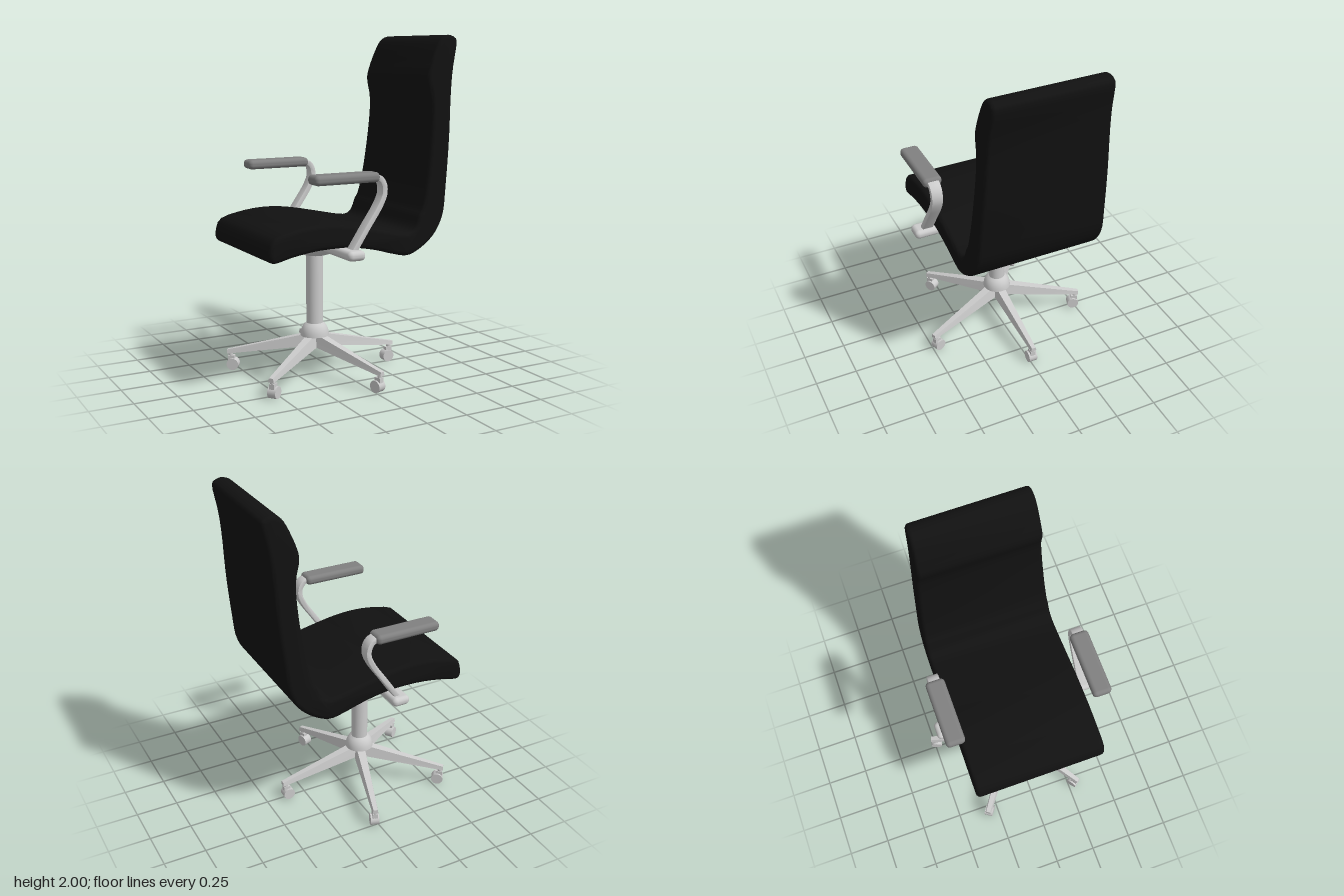
import * as THREE from 'three';
import { toCreasedNormals } from 'three/addons/utils/BufferGeometryUtils.js';
import { RoundedBoxGeometry } from 'three/addons/geometries/RoundedBoxGeometry.js';

const grey = new THREE.MeshStandardMaterial({ color: 0xcccccc });
const padGrey = new THREE.MeshStandardMaterial({ color: 0x808080 });
const black = new THREE.MeshStandardMaterial({ color: 0x111111 });

const AXIS_X = -0.135; // pedestal axis
const BODY_Z = 0.007;
const BASE_Z = -0.01;

function add(parent, name, geometry, material, x = 0, y = 0, z = 0) {
  const mesh = new THREE.Mesh(geometry, material);
  mesh.name = name;
  mesh.position.set(x, y, z);
  parent.add(mesh);
  return mesh;
}

// One-piece padded seat and back: side profile extruded, then narrowed upward
function shellGeometry() {
  const outline = [
    [-0.61, 0.85], [-0.575, 0.925], [-0.415, 0.965], [-0.267, 0.974], [-0.125, 0.96],
    [0.06, 0.923], [0.22, 0.89], [0.283, 0.892], [0.316, 0.923], [0.336, 0.98],
    [0.362, 1.03], [0.394, 1.183], [0.42, 1.394], [0.431, 1.553], [0.426, 1.643],
    [0.405, 1.74], [0.42, 1.817], [0.463, 1.923], [0.5, 1.98], [0.548, 2.0],
    [0.59, 1.99], [0.608, 1.955], [0.58, 1.807], [0.564, 1.66], [0.548, 1.394],
    [0.521, 1.13], [0.5, 0.98], [0.447, 0.876], [0.362, 0.8], [0.262, 0.755],
    [0.167, 0.77], [0.034, 0.807], [-0.125, 0.833], [-0.31, 0.833], [-0.468, 0.812],
    [-0.58, 0.787], [-0.61, 0.812],
  ].map(([x, y]) => new THREE.Vector2(x, y)).reverse();
  const smooth = new THREE.SplineCurve([...outline, outline[0]]).getPoints(110);
  smooth.pop();
  const bevel = 0.025;
  const half = 0.4;
  const geo = new THREE.ExtrudeGeometry(new THREE.Shape(smooth), {
    depth: 2 * (half - bevel), steps: 1, bevelEnabled: true,
    bevelThickness: bevel, bevelSize: bevel, bevelOffset: -bevel, bevelSegments: 4,
  });
  geo.translate(0, 0, -(half - bevel));
  const p = geo.attributes.position;
  for (let i = 0; i < p.count; i++) {
    const taper = 1 - 0.12 * Math.max(0, p.getY(i) - 0.85);
    p.setZ(i, p.getZ(i) * taper);
  }
  return toCreasedNormals(geo, 0.8);
}

// Flat bent strap carrying an arm pad
function strapGeometry() {
  const path = new THREE.CatmullRomCurve3([
    [-0.15, 0.81], [-0.06, 0.945], [0.03, 1.08], [0.053, 1.14], [0.048, 1.19], [0.025, 1.22], [-0.02, 1.232],
  ].map(([x, y]) => new THREE.Vector3(x, y, 0)));
  const n = 32, t = 0.013;
  const left = [], right = [];
  for (let i = 0; i <= n; i++) {
    const c = path.getPointAt(i / n), d = path.getTangentAt(i / n);
    left.push(new THREE.Vector2(c.x - d.y * t, c.y + d.x * t));
    right.push(new THREE.Vector2(c.x + d.y * t, c.y - d.x * t));
  }
  const shape = new THREE.Shape([...right, ...left.reverse()]);
  const geo = new THREE.ExtrudeGeometry(shape, {
    depth: 0.056, bevelThickness: 0.006, bevelSize: 0.005, bevelOffset: -0.002, bevelSegments: 2,
  });
  geo.translate(0, 0, -0.028);
  return toCreasedNormals(geo, 0.7);
}

// Leg along +x: a box tapered toward the tip with a narrower top face
function legGeometry() {
  const geo = new THREE.BoxGeometry(1, 1, 1);
  const p = geo.attributes.position;
  for (let i = 0; i < p.count; i++) {
    const tip = p.getX(i) > 0, top = p.getY(i) > 0, side = Math.sign(p.getZ(i));
    const width = (tip ? 0.018 : 0.038) * (top ? 0.7 : 1);
    const y = tip ? (top ? 0.128 : 0.104) : (top ? 0.255 : 0.18);
    p.setXYZ(i, tip ? 0.535 : 0.02, y, side * width);
  }
  geo.computeVertexNormals();
  return geo;
}

export function createModel() {
  const chair = new THREE.Group();
  chair.name = 'officeChair';

  add(chair, 'seatAndBack', shellGeometry(), black, 0, 0, BODY_Z);

  // Bowl-shaped mount under the seat
  const bowl = [];
  for (let i = 0; i <= 14; i++) {
    const a = (i / 14) * Math.PI / 2;
    bowl.push(new THREE.Vector2(0.182 * Math.sin(a), -0.12 * Math.cos(a)));
  }
  bowl.push(new THREE.Vector2(0, 0));
  add(chair, 'seatMount', toCreasedNormals(new THREE.LatheGeometry(bowl, 40), 0.8), grey, AXIS_X, 0.842, 0);

  // Cross bar and the two armrests
  add(chair, 'armCrossBar', new RoundedBoxGeometry(0.108, 0.056, 1.022, 4, 0.026), grey, -0.145, 0.81, 0.017);
  for (const side of [1, -1]) {
    const arm = new THREE.Group();
    arm.name = side > 0 ? 'leftArmrest' : 'rightArmrest';
    arm.position.z = 0.011 + side * 0.434;
    add(arm, 'armStrap', strapGeometry(), grey);
    add(arm, 'armPad', new RoundedBoxGeometry(0.398, 0.056, 0.112, 4, 0.024), padGrey, -0.186, 1.23, 0);
    chair.add(arm);
  }

  // Pedestal, turned about its own axis
  const base = new THREE.Group();
  base.name = 'base';
  base.position.set(AXIS_X, 0, BASE_Z);
  chair.add(base);
  add(base, 'column', new THREE.CylinderGeometry(0.05, 0.05, 0.48, 32), grey, 0, 0.53, 0);
  const hub = [[0, 0.17], [0.045, 0.17], [0.05, 0.235], [0.085, 0.24], [0.083, 0.262], [0.076, 0.285], [0.064, 0.305], [0.05, 0.317], [0, 0.317]];
  const hubGeo = new THREE.LatheGeometry(hub.map(([r, y]) => new THREE.Vector2(r, y)), 32);
  add(base, 'hub', toCreasedNormals(hubGeo, 0.7), grey);

  // Five legs with casters
  for (let i = 0; i < 5; i++) {
    const spoke = new THREE.Group();
    spoke.name = 'leg' + (i + 1);
    spoke.rotation.y = (i * 2 * Math.PI) / 5;
    add(spoke, 'legBeam', legGeometry(), grey);
    add(spoke, 'casterStem', new THREE.CylinderGeometry(0.014, 0.014, 0.06, 12), grey, 0.515, 0.085, 0);
    add(spoke, 'casterFork', new THREE.BoxGeometry(0.04, 0.03, 0.03), grey, 0.51, 0.078, 0);
    const wheel = new THREE.CylinderGeometry(0.036, 0.036, 0.052, 14).rotateX(Math.PI / 2);
    add(spoke, 'casterWheel', wheel, grey, 0.5, 0.04, 0);
    base.add(spoke);
  }

  // Rest the wheels on the ground
  chair.children.forEach((part) => { if (part === base) part.position.y = -0.0; });
  return chair;
}
